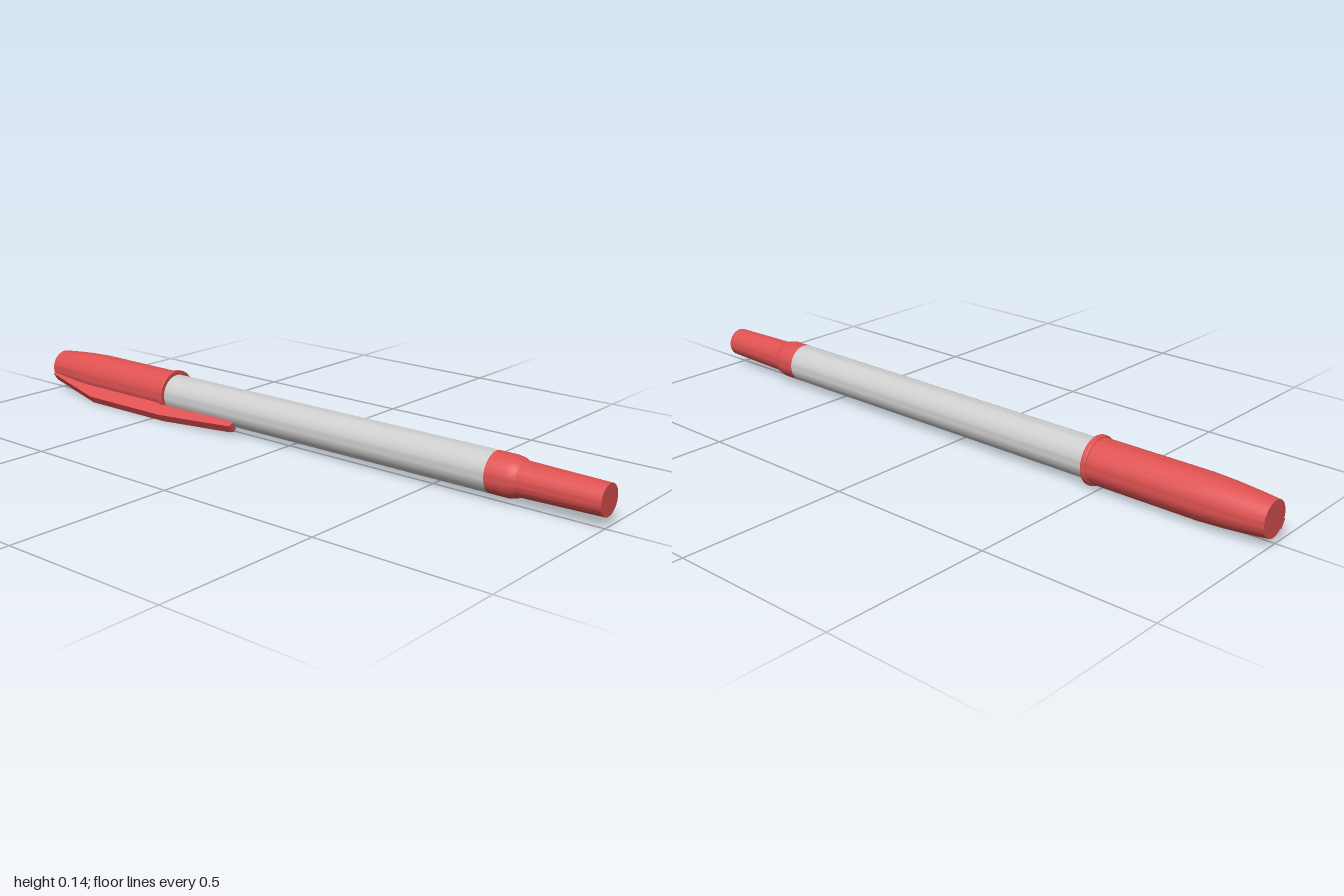
import * as THREE from 'three';
import { toCreasedNormals } from 'three/addons/utils/BufferGeometryUtils.js';

const AXIS_Y = 0.071, AXIS_Z = -0.013;

// Revolve [x, radius] points around the pen's long axis
function turned(name, points, material) {
  const profile = points.map(([x, r]) => new THREE.Vector2(r, x));
  const geometry = new THREE.LatheGeometry(profile, 48).rotateZ(-Math.PI / 2);
  const mesh = new THREE.Mesh(toCreasedNormals(geometry, 0.35), material);
  mesh.name = name;
  return mesh;
}

export function createModel() {
  const red = new THREE.MeshStandardMaterial({ color: 0xde5151 });
  red.name = 'red plastic';
  const grey = new THREE.MeshStandardMaterial({ color: 0xcdcdcd });
  grey.name = 'light grey plastic';

  const pen = new THREE.Group();
  pen.name = 'pen';
  pen.position.set(0, AXIS_Y, AXIS_Z);

  // Barrel
  pen.add(turned('barrel', [[-0.6, 0], [-0.6, 0.057], [0.68, 0.057], [0.68, 0]], grey));

  // Cap with a collar round its mouth
  pen.add(turned('cap', [
    [-1, 0], [-1, 0.05], [-0.94, 0.056], [-0.88, 0.061], [-0.81, 0.0645],
    [-0.48, 0.0645],
  ], red));
  pen.add(turned('capCollar', [
    [-0.485, 0.06], [-0.485, 0.067], [-0.481, 0.07], [-0.472, 0.07],
    [-0.47, 0.069], [-0.47, 0.056],
  ], red));

  // End plug: a sleeve as wide as the barrel, then a narrower taper
  pen.add(turned('endPlug', [
    [0.68, 0], [0.68, 0.057], [0.735, 0.057], [0.755, 0.053], [0.765, 0.048],
    [1, 0.043], [1, 0],
  ], red));

  // Pocket clip, drawn as distance from the axis along the pen
  const outline = new THREE.Shape([
    [-1, 0.045], [-1, 0.054], [-0.77, 0.106], [-0.45, 0.106], [-0.19, 0.083],
    [-0.178, 0.079], [-0.178, 0.066], [-0.185, 0.062], [-0.49, 0.066], [-0.49, 0.06],
    [-0.82, 0.06],
  ].map(([x, r]) => new THREE.Vector2(x, r)));
  const width = 0.027;
  const clipGeometry = new THREE.ExtrudeGeometry(outline, { depth: width, bevelEnabled: false });
  clipGeometry.translate(0, 0, -width / 2);
  const clip = new THREE.Mesh(clipGeometry, red);
  clip.name = 'pocketClip';
  clip.rotation.x = 2.147; // points forward and down
  pen.add(clip);

  const model = new THREE.Group();
  model.name = 'cappedPen';
  model.add(pen);
  return model;
}
